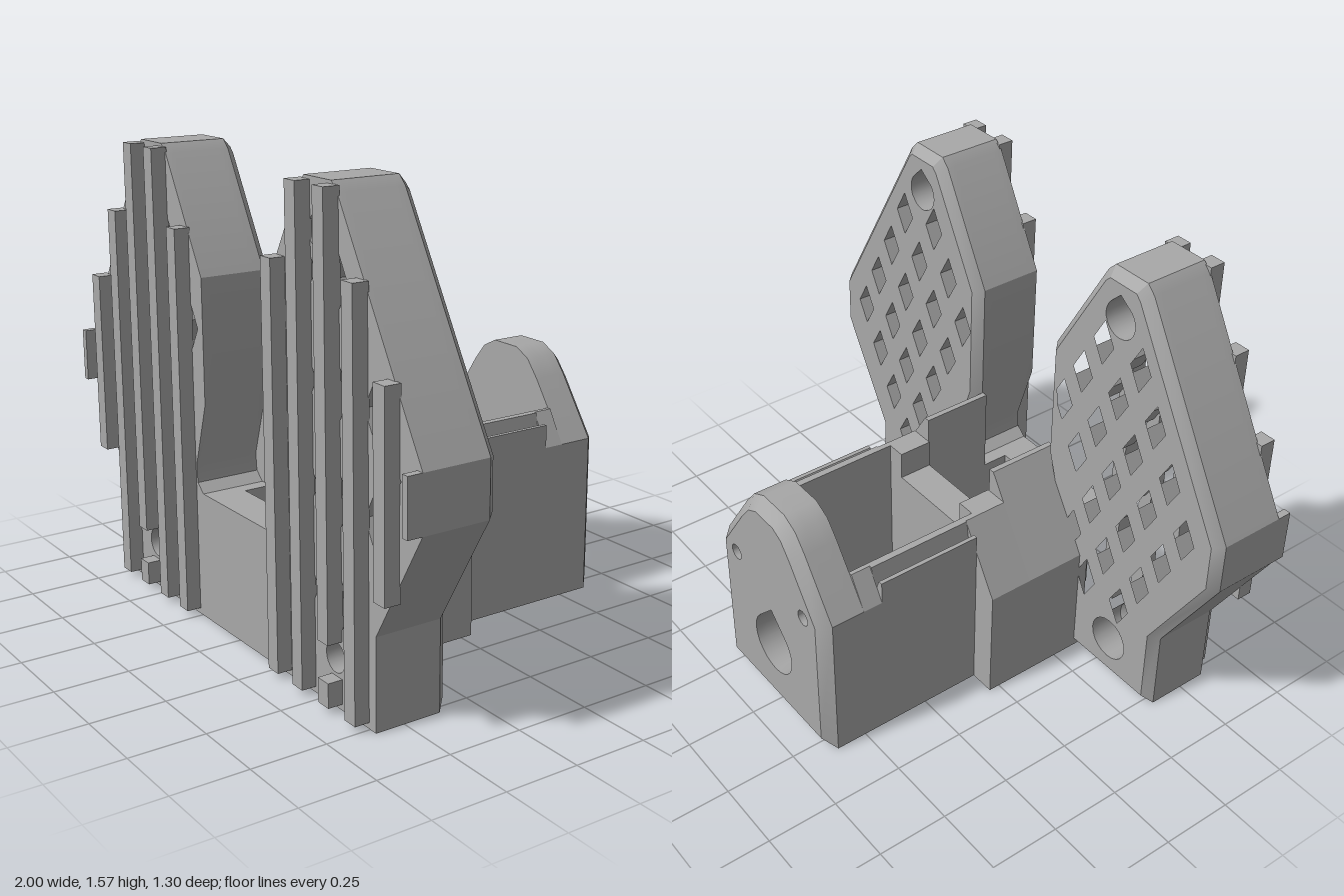
import * as THREE from 'three';
import { toCreasedNormals } from 'three/addons/utils/BufferGeometryUtils.js';

const V = (x, y) => new THREE.Vector2(x, y);
const pts = (list, s = 1) => list.map(([x, y]) => V(s * x, y));

// Round hole with a pointed top
function teardrop(cx, cy, r, tip) {
  const out = [];
  for (let i = 0; i <= 18; i++) {
    const a = Math.PI * (0.75 + (1.5 * i) / 18);
    out.push(V(cx + r * Math.cos(a), cy + r * Math.sin(a)));
  }
  out.push(V(cx, cy + tip));
  return out;
}

function circle(cx, cy, r) {
  return new THREE.EllipseCurve(cx, cy, r, r).getPoints(20).slice(0, 20);
}

function inside(p, poly) {
  let hit = false;
  poly.forEach((a, i) => {
    const b = poly[(i + 1) % poly.length];
    if ((a.y > p.y) !== (b.y > p.y) && p.x < a.x + ((b.x - a.x) * (p.y - a.y)) / (b.y - a.y)) hit = !hit;
  });
  return hit;
}

// Extruded outline; its back rim can be chamfered and holes countersunk at the back
function slab(outline, z0, z1, { holes = [], sinks = [], steps = 1, inset = 0 } = {}) {
  const shape = new THREE.Shape(outline);
  holes.forEach((h) => shape.holes.push(new THREE.Path(h)));
  const geo = new THREE.ExtrudeGeometry(shape, { depth: z1 - z0, steps, bevelEnabled: false });
  const pos = geo.attributes.position;
  const sign = Math.sign(THREE.ShapeUtils.area(outline));
  const n = outline.length;
  const normal = (a, b) => V(a.y - b.y, b.x - a.x).normalize().multiplyScalar(sign);
  const shifts = outline.map((p, i) => {
    const a = normal(outline[(i + n - 1) % n], p);
    const b = normal(p, outline[(i + 1) % n]);
    return a.clone().add(b).multiplyScalar(inset / (1 + a.dot(b)));
  });
  for (let i = 0; i < pos.count; i++) {
    const p = V(pos.getX(i), pos.getY(i));
    const z = pos.getZ(i);
    if (inset && z < 1e-5) {
      const k = outline.findIndex((o) => o.distanceTo(p) < 1e-4);
      if (k >= 0) pos.setXY(i, p.x + shifts[k].x, p.y + shifts[k].y);
    }
    for (const [cx, cy, reach, grow] of sinks) {
      if (z < 0.14 && p.distanceTo(V(cx, cy)) < reach) {
        pos.setXY(i, cx + (p.x - cx) * grow, cy + (p.y - cy) * grow);
      }
    }
  }
  geo.translate(0, 0, z0);
  return toCreasedNormals(geo, 0.5);
}

export function createModel() {
  const model = new THREE.Group();
  model.name = 'wingedBracket';
  const grey = new THREE.MeshStandardMaterial({ color: 0xa8a8a8 });
  grey.name = 'grey plastic';

  const add = (name, geo) => {
    const mesh = new THREE.Mesh(geo, grey);
    mesh.name = name;
    model.add(mesh);
    return mesh;
  };
  const box = (name, x0, x1, y0, y1, z0, z1) =>
    add(name, new THREE.BoxGeometry(Math.abs(x1 - x0), y1 - y0, z1 - z0))
      .position.set((x0 + x1) / 2, (y0 + y1) / 2, (z0 + z1) / 2);

  const wing = [[0.17, 0], [0.78, 0], [0.78, 0.3], [1, 0.67], [1, 0.85], [0.6, 1.54], [0.57, 1.57],
    [0.43, 1.57], [0.4, 1.54], [0.19, 1.17], [0.19, 0.75], [0.26, 0.53], [0.255, 0.47], [0.22, 0.44], [0.17, 0.44]];
  const wingPoly = pts(wing);

  // Staggered lattice of diamond holes
  const diamonds = [];
  for (let r = -1; r <= 5; r++) {
    for (let c = -3; c <= 3; c++) {
      const x = 0.52 + 0.168 * c + (r % 2 ? 0.084 : 0);
      const y = 1.14 - 0.16 * r - 0.07 * (x - 0.52);
      const corners = (k) => [[x + 0.045 * k, y], [x, y + 0.08 * k], [x - 0.045 * k, y], [x, y - 0.08 * k]];
      const clear = corners(1.4).every(([px, py]) => inside(V(px, py), wingPoly));
      if (clear && !(x < 0.4 && y < 0.4)) diamonds.push(corners(1));
    }
  }

  // Ribs: inner x, outer x, bottom, top
  const ribs = [[0.265, 0.32, 0.02, 1.32], [0.405, 0.46, 0.02, 1.56], [0.55, 0.605, 0.02, 0.1],
    [0.55, 0.605, 0.22, 1.56], [0.69, 0.745, 0.02, 1.32], [0.84, 0.895, 0.44, 1.07], [0.975, 1, 0.67, 0.85]];

  for (const s of [1, -1]) {
    const side = s > 0 ? 'left' : 'right';

    // Perforated wing with two countersunk screw holes
    add(side + 'Wing', slab(pts(wing, s), 0.34, 0.6, {
      holes: [...diamonds.map((d) => pts(d, s)), teardrop(s * 0.5, 1.42, 0.05, 0.07), circle(s * 0.57, 0.16, 0.05)],
      sinks: [[s * 0.5, 1.42, 0.0702, 1.3], [s * 0.57, 0.16, 0.055, 1.6]],
      steps: 8,
      inset: 0.03,
    }));
    for (const [x0, x1, y0, y1] of ribs) box(side + 'WingRib', s * x0, s * x1, y0, y1, 0.595, 0.65);

    // Shoulder joining the wing to the rear housing, with a lower rear step
    add(side + 'Shoulder', slab(pts([[0.17, 0], [0.4, 0], [0.4, 0.42], [0.19, 0.75], [0.17, 0.75]], s), 0.12, 0.375));
    add(side + 'ShoulderStep', slab(pts([[0.23, 0], [0.4, 0], [0.4, 0.42], [0.25, 0.66], [0.23, 0.66]], s), -0.04, 0.12));

    // Housing side wall with a groove along its top
    add(side + 'HousingWall', slab(pts([[0.23, 0], [0.31, 0], [0.31, 0.63], [0.295, 0.63], [0.27, 0.57],
      [0.255, 0.66], [0.23, 0.66]], s), -0.42, -0.04));
    add(side + 'HousingCorner', slab(pts([[0.23, 0], [0.31, 0], [0.31, 0.55], [0.245, 0.66], [0.23, 0.66]], s), -0.49, -0.42));

    // Raised end of the divider and a small clip half
    box(side + 'DividerPost', s * 0.165, s * 0.235, 0.5, 0.66, 0, 0.12);
  }

  // Front panel and cross divider
  box('frontPanel', -0.171, 0.171, 0, 0.44, 0.47, 0.6);
  box('divider', -0.235, 0.235, 0, 0.56, 0, 0.12);
  box('clipArm', -0.165, -0.13, 0.2, 0.35, 0.11, 0.2);
  box('clipArm', -0.06, 0, 0.2, 0.35, 0.11, 0.2);

  // Arched rear wall with a cable opening and two screw holes
  const arch = [[-0.31, 0], [0.31, 0], [0.31, 0.55], [0.17, 0.75], [0.12, 0.81], [0.06, 0.84],
    [-0.06, 0.84], [-0.12, 0.81], [-0.17, 0.75], [-0.31, 0.55]];
  add('rearWall', slab(pts(arch), -0.65, -0.49, {
    holes: [teardrop(0, 0.26, 0.11, 0.156), circle(0.2, 0.53, 0.028), circle(-0.2, 0.53, 0.028)],
    steps: 4,
    inset: 0.04,
  }));
  box('rearSill', -0.235, 0.235, 0, 0.08, -0.495, -0.39);

  return model;
}
